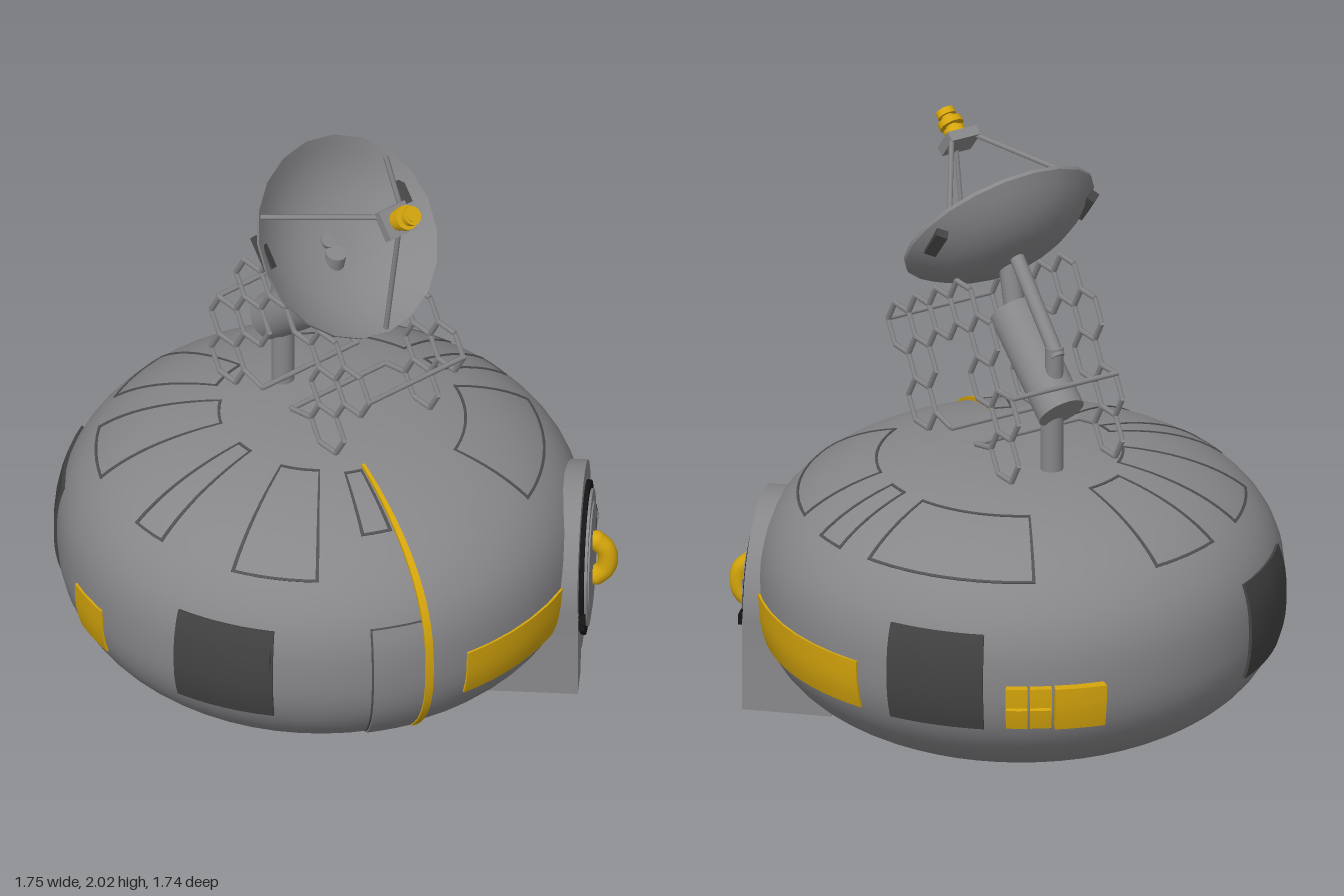
import * as THREE from 'three';
import { mergeGeometries, toCreasedNormals } from 'three/addons/utils/BufferGeometryUtils.js';

const paint = (name, color) => Object.assign(new THREE.MeshStandardMaterial({ color }), { name });
const V = (x, y, z) => new THREE.Vector3(x, y, z);
const RAD = Math.PI / 180;

// Hull cross-section: a superellipse, parametrised by elevation a
const R = 0.866, H = 0.484, MID = 0.492, N = 2.45;
const atY = y => Math.sign(y - MID) * Math.asin(Math.min(1, Math.abs((y - MID) / H)) ** (N / 2));
const atR = r => Math.acos((r / R) ** (N / 2));
function hullPoint(deg, a, off) {
  const c = Math.max(0, Math.cos(a)) ** (2 / N), s = Math.sign(a) * Math.abs(Math.sin(a)) ** (2 / N);
  const n = new THREE.Vector2(c ** (N - 1) / R, Math.sign(s) * Math.abs(s) ** (N - 1) / H).normalize();
  const r = R * c + n.x * off, t = deg * RAD;
  return V(r * Math.sin(t), MID + H * s + n.y * off, r * Math.cos(t));
}

// Raised plate following the hull, with side walls sunk into it
function patch(d0, d1, a0, a1, off) {
  const nu = Math.max(2, Math.ceil(Math.abs(d1 - d0) / 4)), nv = Math.max(2, Math.ceil(Math.abs(a1 - a0) / 0.08));
  const pos = [], index = [], w = nu + 3;
  for (let j = -1; j <= nv + 1; j++) for (let i = -1; i <= nu + 1; i++) {
    const u = THREE.MathUtils.clamp(i / nu, 0, 1), v = THREE.MathUtils.clamp(j / nv, 0, 1);
    const rim = i < 0 || j < 0 || i > nu || j > nv;
    pos.push(...hullPoint(d0 + (d1 - d0) * u, a0 + (a1 - a0) * v, rim ? -0.008 : off).toArray());
  }
  for (let j = 0; j < nv + 2; j++) for (let i = 0; i < nu + 2; i++) {
    const k = j * w + i;
    index.push(k, k + 1, k + w + 1, k, k + w + 1, k + w);
  }
  const g = new THREE.BufferGeometry();
  g.setAttribute('position', new THREE.Float32BufferAttribute(pos, 3));
  g.setIndex(index);
  return toCreasedNormals(g, 0.6);
}

// Seam around a hull panel
function outline(d0, d1, a0, a1) {
  const e = 0.009, o = 0.003;
  const rad = a => R * Math.cos(a) ** (2 / N);
  const w = e / rad((a0 + a1) / 2) / RAD;
  const step = a => e / hullPoint(0, a, 0).distanceTo(hullPoint(0, a + 0.01, 0)) * 0.01;
  return mergeGeometries([
    patch(d0, d0 + w, a0, a1, o), patch(d1 - w, d1, a0, a1, o),
    patch(d0, d1, a0, a0 + step(a0), o), patch(d0, d1, a1 - step(a1), a1, o)]);
}

// Round bar between two points
function bar(p, q, r, sides = 8) {
  const d = q.clone().sub(p);
  const g = new THREE.CylinderGeometry(r, r, d.length(), sides);
  g.applyQuaternion(new THREE.Quaternion().setFromUnitVectors(V(0, 1, 0), d.normalize()));
  return g.translate((p.x + q.x) / 2, (p.y + q.y) / 2, (p.z + q.z) / 2);
}

export function createModel() {
  const grey = paint('hull grey', 0x87878a), seam = paint('seam grey', 0x505052);
  const dark = paint('dark panel grey', 0x434344), black = paint('seal black', 0x151515);
  const yellow = paint('marking yellow', 0xd6a60c);
  const model = new THREE.Group();
  const add = (name, geo, mat, parent = model) => {
    const m = new THREE.Mesh(geo, mat);
    m.name = name;
    parent.add(m);
    return m;
  };

  // Hull
  const profile = [];
  for (let i = 0; i <= 48; i++) {
    const p = hullPoint(90, (i / 48 - 0.5) * Math.PI, 0);
    profile.push(new THREE.Vector2(Math.max(0, p.x), p.y));
  }
  add('hull', new THREE.LatheGeometry(profile, 56), grey);

  // Roof panel seams: start angle, end angle, inner and outer radius
  const roof = [[175, 185, 0.47, 0.74], [118, 163, 0.47, 0.735], [195, 242, 0.47, 0.735], [-85, -63, 0.37, 0.74],
    [-50, -27, 0.33, 0.74], [-5.5, 5.5, 0.32, 0.735], [27, 50, 0.33, 0.74], [63, 73, 0.35, 0.61]];
  add('roofPanelSeams', mergeGeometries(roof.map(([a, b, r0, r1]) => outline(a, b, atR(r1), atR(r0)))), seam);

  // Side door
  add('sideDoor', patch(62, 73.5, atY(0.19), atY(0.66), 0.008), grey);
  add('sideDoorSeam', outline(61.6, 73.9, atY(0.185), atY(0.665)), seam);

  // Dark side panels with a small raised cover
  for (const [a, b] of [[17, 40], [-62, -38], [-152, -130]])
    add('darkPanel', patch(a, b, atY(0.33), atY(0.66), 0.01), dark);
  add('panelCover', patch(31, 39.5, atY(0.53), atY(0.6), 0.022), dark);

  // Yellow markings
  add('frontMarking', patch(-17, -5.3, atY(0.33), atY(0.5), 0.007), yellow);
  add('sideBand', patch(84, 200, atY(0.33), atY(0.5), 0.007), yellow);
  add('verticalStripe', patch(73.6, 75.4, atY(0.19), atR(0.34), 0.012), yellow);

  // Yellow equipment boxes
  add('equipmentBox', patch(-114.5, -103.5, atY(0.35), atY(0.49), 0.034), yellow);
  for (const [a, b] of [[-125, -120.4], [-119.8, -115.2]])
    for (const [y0, y1] of [[0.35, 0.415], [0.425, 0.49]])
      add('smallEquipmentBox', patch(a, b, atY(y0), atY(y1), 0.026), yellow);

  // Hatch, built facing +z and turned into place
  const hatch = new THREE.Group();
  hatch.name = 'hatch';
  hatch.rotation.y = 136.4 * RAD;
  model.add(hatch);
  const HY = 0.41;
  const arch = new THREE.Shape();
  arch.absarc(0, 0, 0.32, 0, Math.PI, false);
  arch.lineTo(-0.32, -0.1);
  arch.absarc(0, 0, 0.305, Math.PI * 1.1, Math.PI * 1.9, false);
  arch.lineTo(0.32, -0.1);
  const frame = new THREE.ExtrudeGeometry(arch, { depth: 0.26, bevelEnabled: false, curveSegments: 24 });
  add('hatchFrame', toCreasedNormals(frame.translate(0, HY, 0.605), 0.5), grey, hatch);
  for (const s of [-1, 1]) {
    const foot = new THREE.Shape([[0.318, 0], [0.325, -0.32], [0.2, -0.32], [0.17, -0.23], [0.24, -0.1]]
      .map(([x, y]) => new THREE.Vector2(s * x, y)));
    add('hatchFoot', new THREE.ExtrudeGeometry(foot, { depth: 0.3, bevelEnabled: false }).translate(0, HY, 0.567), grey, hatch);
  }
  const disc = (r, h, z) => new THREE.CylinderGeometry(r, r, h, 40).rotateX(Math.PI / 2).translate(0, HY, z);
  add('hatchSeal', disc(0.255, 0.03, 0.865), black, hatch);
  add('hatchDoor', disc(0.226, 0.04, 0.869), grey, hatch);
  add('hatchDoorFace', disc(0.185, 0.01, 0.889), grey, hatch);
  for (const [x, y] of [[-0.265, -0.075], [0.268, -0.015]])
    add('hatchLatch', new THREE.BoxGeometry(0.05, 0.035, 0.03).translate(x, HY + y, 0.872), black, hatch);
  add('hatchWindowRim', new THREE.BoxGeometry(0.062, 0.04, 0.008).translate(0.145, HY + 0.055, 0.894), seam, hatch);
  add('hatchWindow', new THREE.BoxGeometry(0.048, 0.026, 0.01).translate(0.145, HY + 0.055, 0.895), grey, hatch);
  const grip = new THREE.CatmullRomCurve3([V(0, HY - 0.07, 0.905), V(0, HY - 0.04, 0.935), V(0, HY, 0.944),
    V(0, HY + 0.04, 0.935), V(0, HY + 0.07, 0.905)]);
  add('hatchHandle', new THREE.TubeGeometry(grip, 16, 0.033, 12), yellow, hatch);
  for (const s of [-1, 1])
    add('hatchHandleEnd', new THREE.SphereGeometry(0.033, 12, 8).translate(0, HY + s * 0.07, 0.905), yellow, hatch);

  // Mast and arm
  const Z = -0.008;
  add('mast', bar(V(-0.205, 0.97, Z), V(-0.205, 1.2, Z), 0.038, 16), grey);
  add('arm', bar(V(-0.265, 1.19, Z), V(0.04, 1.445, Z), 0.08, 20), grey);
  add('armRod', bar(V(-0.24, 1.38, Z), V(0.03, 1.66, Z), 0.025, 12), grey);
  add('armRodLink', bar(V(-0.22, 1.25, Z), V(-0.22, 1.41, Z), 0.03, 12), grey);
  add('dishMount', bar(V(0.02, 1.43, Z), V(0.07, 1.63, Z), 0.035, 12), grey);

  // Honeycomb side frames joined by cross bars
  const r = 0.0857, dx = r * 1.5, dy = r * Math.sqrt(3);
  const cells = [[0, 0], [0, 1], [0, 2], [1, 1.5], [-1, 2.5], [-2, 3], [-3, 2.5], [-3, 1.5], [-4, 1], [-4, 0]];
  const edges = new Map();
  for (const [i, j] of cells) for (let k = 0; k < 6; k++) {
    const corner = m => V(0.235 + i * dx + r * Math.cos(m * Math.PI / 3), 1.09 + j * dy + r * Math.sin(m * Math.PI / 3), 0);
    const p = corner(k), q = corner(k + 1), mid = p.clone().add(q);
    edges.set(`${Math.round(mid.x * 100)},${Math.round(mid.y * 100)}`, [p, q]);
  }
  const links = [...edges.values(),
    [V(-0.19, 1.09, 0), V(-0.1, 1.07, 0)], [V(0.15, 1.09, 0), V(0.05, 1.07, 0)], [V(-0.327, 1.315, 0), V(-0.235, 1.31, 0)]];
  const lattice = mergeGeometries(links.map(([p, q]) => bar(p, q, 0.0095, 6)));
  for (const z of [0.165, -0.235]) add('honeycombFrame', lattice, grey).position.z = z;
  for (const [x, y] of [[-0.327, 1.315], [-0.1, 1.07], [0.05, 1.07], [0.45, 1.315]])
    add('crossBar', bar(V(x, y, -0.24), V(x, y, 0.17), 0.0095, 6), grey);

  // Dish, built with its axis along +y and tilted
  const dish = new THREE.Group();
  dish.name = 'dish';
  dish.position.set(0.125, 1.725, Z);
  dish.rotation.z = -51 * RAD;
  model.add(dish);
  const bowl = [];
  const depth = t => -0.135 * (1 - (t / 0.34) ** 2.5);
  for (let i = 0; i <= 9; i++) bowl.push(new THREE.Vector2(0.34 * i / 9, depth(0.34 * i / 9) - 0.006));
  for (let i = 9; i >= 0; i--) bowl.push(new THREE.Vector2(0.34 * i / 9, depth(0.34 * i / 9) + 0.006));
  add('dishBowl', toCreasedNormals(new THREE.LatheGeometry(bowl, 20), 0.7), grey, dish);
  for (const s of [-1, 1])
    add('dishBracket', new THREE.BoxGeometry(0.12, 0.03, 0.04).rotateX(-s * 0.6).translate(-0.07, -0.045, s * 0.29), dark, dish);

  // Feed head and struts
  const FY = 0.32;
  add('feedBlock', new THREE.BoxGeometry(0.1, 0.035, 0.11).translate(0, FY, 0), grey, dish);
  for (const [rad, h, y] of [[0.022, 0.12, 0.06], [0.036, 0.022, 0.035], [0.042, 0.022, 0.068], [0.032, 0.022, 0.105]])
    add('feedHorn', new THREE.CylinderGeometry(rad, rad, h, 16).translate(0, FY + y, 0), yellow, dish);
  for (const [x, y, z] of [[-0.18, -0.01, 0.265], [-0.18, -0.01, -0.265], [0.325, -0.005, 0]])
    add('feedStrut', bar(V(x, y, z), V(Math.sign(x) * 0.03, FY, Math.sign(z) * 0.04), 0.009, 6), grey, dish);

  return model;
}
